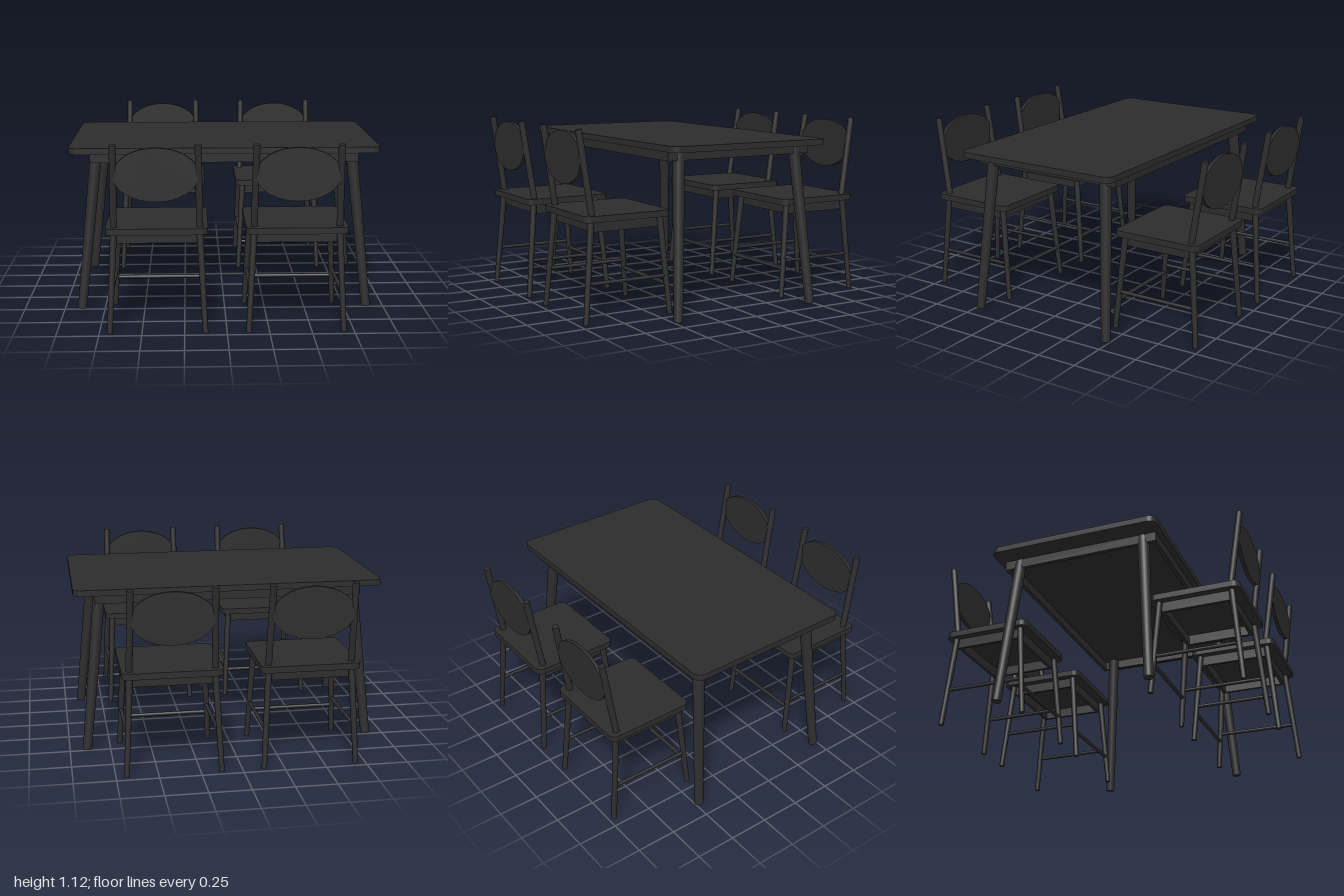
import * as THREE from 'three';

const finish = new THREE.MeshStandardMaterial({ color: 0x2d2d2d });
finish.name = 'charcoal finish';

function add(parent, name, geometry, x = 0, y = 0, z = 0) {
  const mesh = new THREE.Mesh(geometry, finish);
  mesh.name = name;
  mesh.position.set(x, y, z);
  parent.add(mesh);
  return mesh;
}

// Round bar from point a to point b, tapering from ra to rb
function rod(parent, name, a, b, ra, rb = ra) {
  const from = new THREE.Vector3(...a), to = new THREE.Vector3(...b);
  const dir = to.clone().sub(from);
  const mesh = add(parent, name, new THREE.CylinderGeometry(rb, ra, dir.length(), 20));
  mesh.position.copy(from).add(to).multiplyScalar(0.5);
  mesh.quaternion.setFromUnitVectors(new THREE.Vector3(0, 1, 0), dir.normalize());
  return mesh;
}

// Horizontal board with rounded corners, from y = 0 to y = thickness
function board(w, d, r, thickness) {
  const x = w / 2, y = d / 2, s = new THREE.Shape();
  s.absarc(x - r, y - r, r, 0, Math.PI / 2);
  s.absarc(-x + r, y - r, r, Math.PI / 2, Math.PI);
  s.absarc(-x + r, -y + r, r, Math.PI, Math.PI * 1.5);
  s.absarc(x - r, -y + r, r, Math.PI * 1.5, Math.PI * 2);
  s.closePath();
  return new THREE.ExtrudeGeometry(s, { depth: thickness, bevelEnabled: false, curveSegments: 8 })
    .rotateX(-Math.PI / 2);
}

// Four rails under a top, given by outer size
function apron(parent, w, d, h, t, y, z = 0) {
  for (const s of [-1, 1]) {
    add(parent, 'longApron', new THREE.BoxGeometry(w, h, t), 0, y, z + s * (d - t) / 2);
    add(parent, 'sideApron', new THREE.BoxGeometry(t, h, d - 2 * t), s * (w - t) / 2, y, z);
  }
}

function makeTable() {
  const table = new THREE.Group();
  table.name = 'table';
  add(table, 'tableTop', board(1.9, 1.08, 0.05, 0.037), 0, 0.988, 0);
  apron(table, 1.64, 1.0, 0.058, 0.025, 0.959);
  for (const sx of [-1, 1]) for (const sz of [-1, 1]) {
    rod(table, 'tableLeg', [sx * 0.893, 0.003, sz * 0.475], [sx * 0.787, 0.988, sz * 0.41], 0.028, 0.037);
  }
  return table;
}

// Chair on the +z side of the table, with its back at +z
function makeChair(x) {
  const chair = new THREE.Group();
  chair.name = 'chair';
  chair.position.x = x;
  add(chair, 'seat', board(0.594, 0.555, 0.04, 0.038), 0, 0.592, 0.687);
  apron(chair, 0.5, 0.43, 0.062, 0.02, 0.561, 0.687);
  for (const s of [-1, 1]) {
    rod(chair, 'frontLeg', [s * 0.28, 0.002, 0.41], [s * 0.25, 0.592, 0.462], 0.016, 0.02);
    rod(chair, 'backLeg', [s * 0.28, 0.002, 0.964], [s * 0.25, 0.592, 0.912], 0.016, 0.02);
    rod(chair, 'backPost', [s * 0.25, 0.61, 0.904], [s * 0.241, 1.12, 0.979], 0.02);
    rod(chair, 'sideStretcher', [s * 0.268, 0.236, 0.43], [s * 0.268, 0.236, 0.944], 0.011);
  }
  rod(chair, 'frontStretcher', [-0.27, 0.186, 0.426], [0.27, 0.186, 0.426], 0.012);

  // Upright oval panel between the posts
  const oval = new THREE.Shape();
  oval.absellipse(0, 0, 0.245, 0.156, 0, Math.PI * 2);
  add(chair, 'backPanel', new THREE.ExtrudeGeometry(oval, { depth: 0.022, bevelEnabled: false, curveSegments: 24 }),
    0, 0.945, 0.949);
  return chair;
}

export function createModel() {
  const model = new THREE.Group();
  model.name = 'diningSet';
  model.add(makeTable());
  for (const turn of [0, Math.PI]) {
    const row = new THREE.Group();
    row.name = turn ? 'rearChairs' : 'frontChairs';
    row.rotation.y = turn;
    row.add(makeChair(-0.407), makeChair(0.407));
    model.add(row);
  }
  return model;
}
